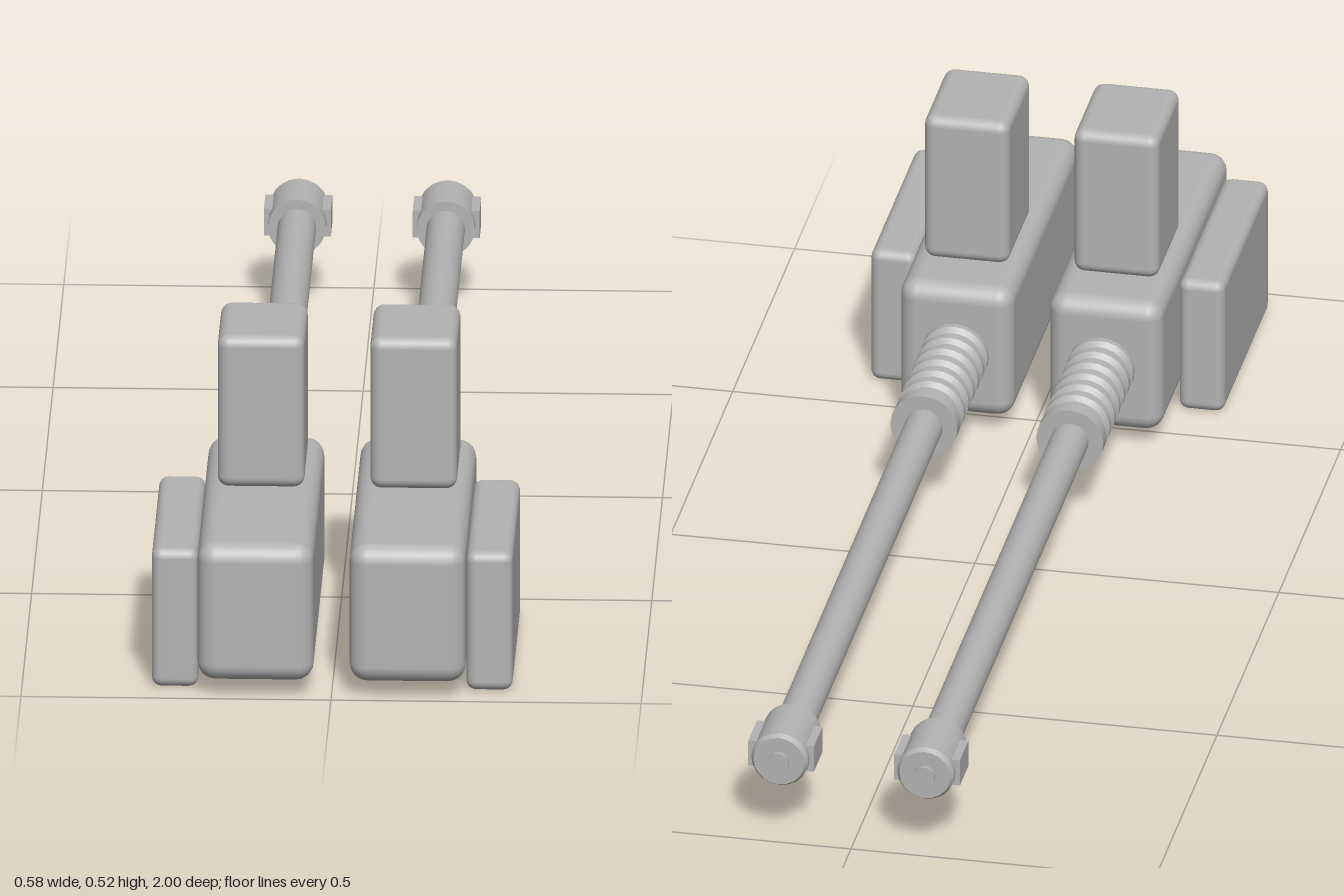
import * as THREE from 'three';
import { RoundedBoxGeometry } from 'three/addons/geometries/RoundedBoxGeometry.js';

const metal = new THREE.MeshStandardMaterial({ color: 0xb3b3b3 });
metal.name = 'grey metal';
const AXIS_X = 0.12, AXIS_Y = 0.144;

function add(group, name, geometry) {
  const mesh = new THREE.Mesh(geometry, metal);
  mesh.name = name;
  group.add(mesh);
  return mesh;
}

// Rounded block given by its extents along each axis
function block(group, name, [x0, x1], [y0, y1], [z0, z1], radius) {
  const geometry = new RoundedBoxGeometry(x1 - x0, y1 - y0, z1 - z0, 3, radius);
  add(group, name, geometry).position.set((x0 + x1) / 2, (y0 + y1) / 2, (z0 + z1) / 2);
}

// Turned part about the barrel axis; profile is [radius, z] from back to front
function turned(group, name, profile, segments = 24) {
  // Separate every band so that its edges stay sharp
  for (let i = 0; i < profile.length - 1; i++) {
    const points = [profile[i], profile[i + 1]].map(([r, z]) => new THREE.Vector2(r, z));
    const geometry = new THREE.LatheGeometry(points, segments);
    geometry.rotateX(Math.PI / 2);
    add(group, name, geometry).position.set(AXIS_X, AXIS_Y, 0);
  }
}

function createGun(side) {
  const gun = new THREE.Group();
  gun.name = side > 0 ? 'leftGun' : 'rightGun';

  // Receiver, upper magazine and outer ammunition box
  const inner = 0.029, outer = 0.216;
  const span = (a, b) => (side > 0 ? [a, b] : [-b, -a]);
  block(gun, 'receiver', span(inner, outer), [0.026, 0.259], [0.44, 1], 0.029);
  block(gun, 'upperMagazine', span(0.053, 0.193), [0.259, 0.517], [0.53, 0.716], 0.018);
  block(gun, 'ammunitionBox', span(0.216, 0.291), [0, 0.236], [0.58, 0.952], 0.016);

  // Barrel assembly
  const barrel = new THREE.Group();
  barrel.name = 'barrelAssembly';
  barrel.position.x = side > 0 ? 0 : -2 * AXIS_X;
  gun.add(barrel);
  turned(barrel, 'barrel', [[0.031, -0.9], [0.031, 0.2]]);

  // Ribbed recoil sleeve
  const sleeve = [[0, 0.178], [0.055, 0.178], [0.055, 0.205]];
  const ribs = 6, pitch = 0.038;
  for (let i = 0; i < ribs; i++) {
    const z = 0.205 + i * pitch;
    sleeve.push([0.047, z + 0.007], [0.047, z + 0.02], [0.055, z + 0.027], [0.055, z + pitch]);
  }
  sleeve.push([0.047, 0.45]);
  turned(barrel, 'recoilSleeve', sleeve);

  // Muzzle with a small end boss and side lugs
  turned(barrel, 'muzzle', [[0, -0.993], [0.042, -0.993], [0.047, -0.985], [0.047, -0.882], [0, -0.882]], 20);
  turned(barrel, 'muzzleBoss', [[0, -1], [0.017, -1], [0.017, -0.99]], 16);
  for (const s of [-1, 1]) {
    add(barrel, 'muzzleLug', new THREE.BoxGeometry(0.02, 0.046, 0.07))
      .position.set(AXIS_X + s * 0.044, AXIS_Y, -0.94);
  }
  return gun;
}

export function createModel() {
  const model = new THREE.Group();
  model.name = 'twinCannon';
  for (const side of [-1, 1]) model.add(createGun(side));
  return model;
}
